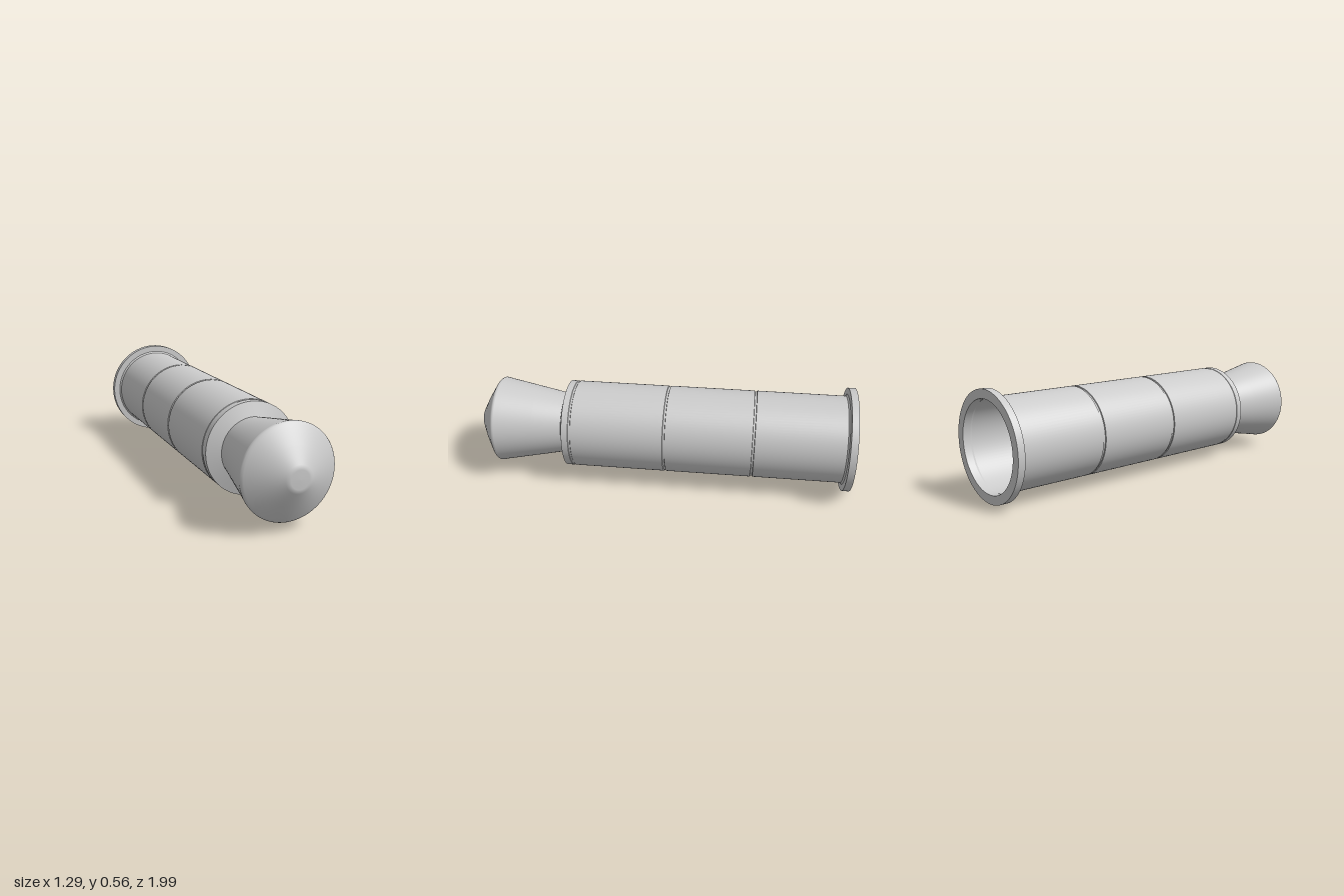
import * as THREE from 'three';

const SEGMENTS = 96;

// Points are [radius, distance from the rear]; the list runs rear to front.
function turned(name, points, material) {
  const geometry = new THREE.LatheGeometry(points.map(([r, s]) => new THREE.Vector2(r, s)), SEGMENTS);
  const mesh = new THREE.Mesh(geometry, material);
  mesh.name = name;
  return mesh;
}

// Every stretch of the profile becomes its own strip, so corners stay sharp.
function turnedSharp(name, points, material) {
  const group = new THREE.Group();
  group.name = name;
  for (let i = 0; i < points.length - 1; i++) {
    group.add(turned(name + 'Face', [points[i], points[i + 1]], material));
  }
  return group;
}

export function createModel() {
  const material = new THREE.MeshStandardMaterial({ color: 0xcccccc, side: THREE.DoubleSide });
  const model = new THREE.Group();
  model.name = 'cartridge';

  // Everything is turned about +y, then laid down and swung 25 degrees
  const axis = new THREE.Group();
  axis.name = 'turnedParts';
  axis.rotation.set(Math.PI / 2, THREE.MathUtils.degToRad(25), 0, 'YXZ');
  axis.position.set(-0.39, 0.282, -0.88);
  model.add(axis);

  const R = 0.237;

  // Rear flange around the open end
  axis.add(turnedSharp('rearFlange', [
    [R, 0.05], [0.234, 0.04], [0.234, 0], [0.281, 0], [0.281, 0.038], [0.246, 0.04], [R, 0.048],
  ], material));

  // Hollow casing with two narrow seams and a shallow crimp near the front
  const profile = [[R, 0.048]];
  for (const [s, width, depth] of [[0.53, 0.014, 0.005], [1.004, 0.014, 0.005], [1.512, 0.014, 0.002]]) {
    profile.push([R, s - width / 2], [R - depth, s - width / 2 + 0.002],
      [R - depth, s + width / 2 - 0.002], [R, s + width / 2]);
  }
  profile.push([R, 1.554]);
  axis.add(turnedSharp('casing', profile, material));

  // Sloping shoulder between casing and neck
  axis.add(turned('shoulder', [[R, 1.554], [0.165, 1.576]], material));

  // Flared head, slightly rounded at its widest edge, with a blunt tip
  axis.add(turned('head', [
    [0.165, 1.576], [0.195, 1.73], [0.228, 1.9], [0.234, 1.928], [0.235, 1.936],
    [0.231, 1.943], [0.222, 1.95], [0.14, 2.0], [0.066, 2.039], [0.056, 2.044], [0.045, 2.046], [0, 2.047],
  ], material));

  return model;
}
